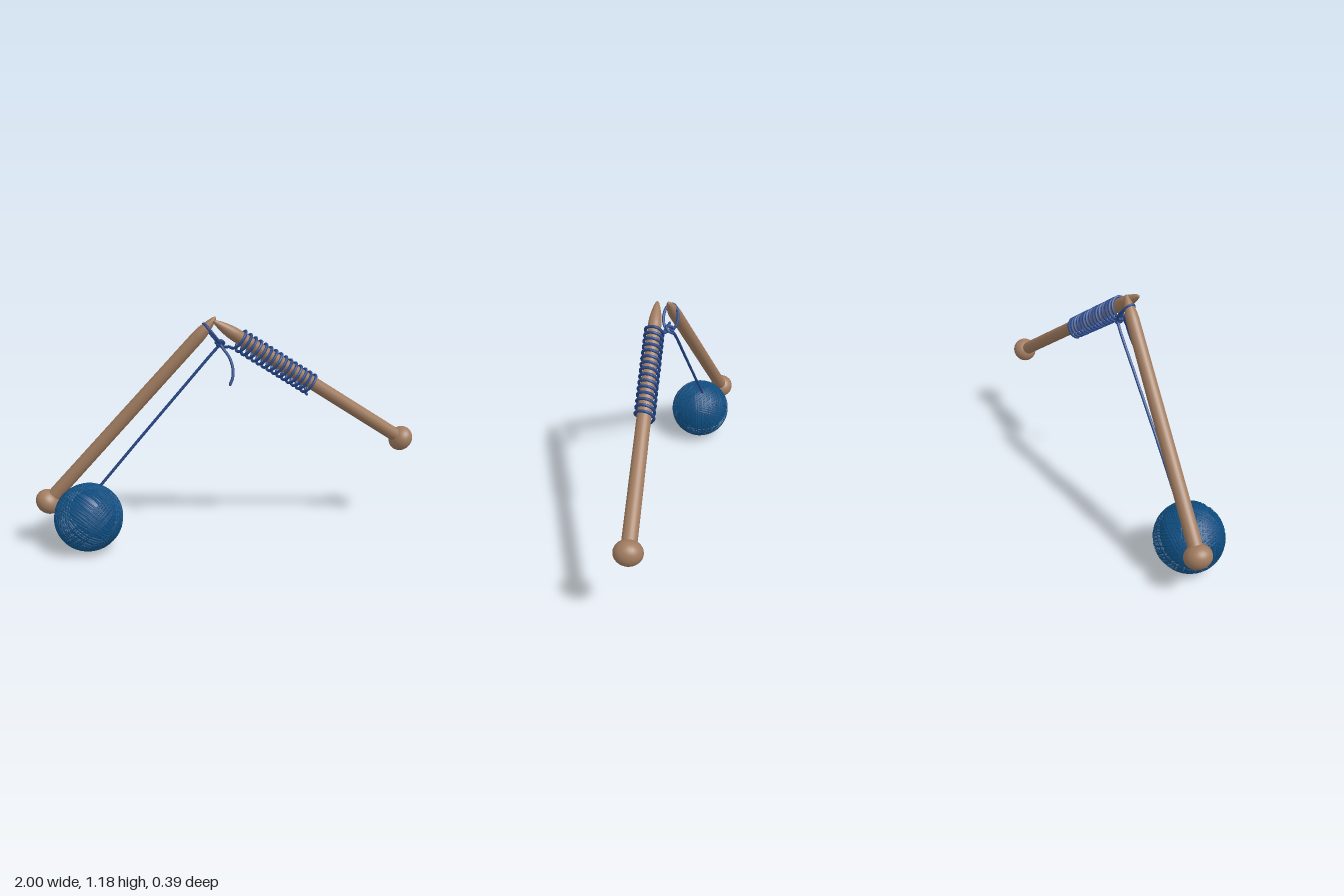
import * as THREE from 'three';

const V = (x, y, z) => new THREE.Vector3(x, y, z);
const UP = V(0, 1, 0);

const wood = new THREE.MeshStandardMaterial({ color: 0xa17c60 });
wood.name = 'wood';
const ballBlue = new THREE.MeshStandardMaterial({ color: 0x0f4f83 });
ballBlue.name = 'ballBlue';
const yarnBlue = new THREE.MeshStandardMaterial({ color: 0x294a8c });
yarnBlue.name = 'yarnBlue';

function add(parent, name, geometry, material) {
  const mesh = new THREE.Mesh(geometry, material);
  mesh.name = name;
  parent.add(mesh);
  return mesh;
}

// Small seeded generator for the winding directions
function seeded(seed) {
  return () => {
    seed = (seed * 16807) % 2147483647;
    return seed / 2147483647;
  };
}

// Needle with a pointed tip and a rounded end knob
function needle(name, knob, tip) {
  const group = new THREE.Group();
  group.name = name;
  const axis = tip.clone().sub(knob);
  const len = axis.length();
  const profile = [
    [0.036, 0], [0.033, len - 0.13], [0.031, len - 0.1], [0.026, len - 0.07],
    [0.018, len - 0.035], [0.01, len - 0.01], [0.005, len - 0.002], [0, len],
  ].map(([r, y]) => new THREE.Vector2(r, y));
  add(group, name + 'Shaft', new THREE.LatheGeometry(profile, 24), wood);
  const end = add(group, name + 'Knob', new THREE.SphereGeometry(0.068, 28, 20), wood);
  end.scale.y = 0.86;
  group.position.copy(knob);
  group.quaternion.setFromUnitVectors(UP, axis.normalize());
  return group;
}

function yarn(parent, name, points, segments, closed = false, r = 0.0075) {
  const curve = new THREE.CatmullRomCurve3(points, closed);
  add(parent, name, new THREE.TubeGeometry(curve, segments, r, 7, closed), yarnBlue);
  if (!closed) {
    for (const p of [points[0], points[points.length - 1]]) {
      add(parent, name + 'End', new THREE.SphereGeometry(r, 8, 6), yarnBlue).position.copy(p);
    }
  }
}

// Ball: a core wrapped in bundles of parallel strands
function yarnBall() {
  const ball = new THREE.Group();
  ball.name = 'yarnBall';
  const R = 0.168;
  add(ball, 'ballCore', new THREE.SphereGeometry(R + 0.001, 40, 28), ballBlue);
  const rand = seeded(41);
  for (let b = 0; b < 11; b++) {
    const bundle = new THREE.Group();
    bundle.name = 'strandBundle';
    const dir = V(rand() - 0.5, rand() - 0.5, rand() - 0.5).normalize();
    bundle.quaternion.setFromUnitVectors(V(0, 0, 1), dir);
    for (let i = -3; i <= 3; i++) {
      const a = i * 0.085 + (rand() - 0.5) * 0.03;
      const strand = add(bundle, 'strand',
        new THREE.TorusGeometry(R * Math.cos(a), 0.0055, 5, 64), ballBlue);
      strand.position.z = R * Math.sin(a);
      strand.rotation.set((rand() - 0.5) * 0.04, (rand() - 0.5) * 0.04, 0);
    }
    ball.add(bundle);
  }
  ball.position.set(-0.755, 0.176, -0.01);
  return ball;
}

export function createModel() {
  const model = new THREE.Group();
  model.name = 'knittingSet';

  const knobA = V(0.937, 0.475, 0.115), tipA = V(-0.135, 1.168, 0.146);
  const knobB = V(-0.94, 0.24, -0.125), tipB = V(-0.105, 1.178, 0.088);
  model.add(needle('leftNeedle', knobA, tipA));
  model.add(needle('rightNeedle', knobB, tipB));
  model.add(yarnBall());

  // Row of stitches wound around the left needle
  const along = knobA.clone().sub(tipA).normalize();
  const side = V(0, 0, 1).addScaledVector(along, -along.z).normalize();
  const over = side.clone().cross(along).normalize();
  if (over.y < 0) over.negate();
  const coil = [];
  const turns = 15, steps = 14;
  for (let i = 0; i <= turns * steps; i++) {
    const t = i / steps, a = t * Math.PI * 2 - Math.PI / 2;
    coil.push(tipA.clone()
      .addScaledVector(along, 0.155 + 0.485 * t / turns)
      .addScaledVector(side, 0.045 * Math.cos(a))
      .addScaledVector(over, -0.011 + 0.053 * Math.sin(a)));
  }
  yarn(model, 'stitches', coil, turns * 24);

  // Loop around the right needle, with its knot
  const loop = [];
  for (let i = 0; i < 16; i++) {
    const a = i / 16 * Math.PI * 2, c = Math.cos(a);
    loop.push(V(-0.121 + 0.043 * c, 1.092 - 0.054 * c, 0.078 + 0.036 * Math.sin(a)));
  }
  yarn(model, 'needleLoop', loop, 48, true);
  yarn(model, 'knot', [
    V(-0.1, 1.05, 0.07), V(-0.08, 1.062, 0.095), V(-0.062, 1.045, 0.08),
    V(-0.075, 1.028, 0.058), V(-0.095, 1.04, 0.075), V(-0.08, 1.055, 0.06),
  ], 40);

  // Yarn linking the knot to the first stitch
  yarn(model, 'linkYarn', [
    V(-0.085, 1.045, 0.07), V(-0.07, 1.03, 0.1), V(-0.05, 1.035, 0.125), coil[0],
  ], 24);

  // Loose tail
  yarn(model, 'tail', [
    V(-0.1, 1.07, 0.08), V(-0.075, 1.025, 0.11), V(-0.052, 0.985, 0.14),
    V(-0.042, 0.93, 0.165), V(-0.048, 0.89, 0.178), V(-0.062, 0.86, 0.183),
  ], 32);

  // Taut strand from the ball to the knot
  yarn(model, 'strandToBall', [
    V(-0.72, 0.29, -0.035), V(-0.5, 0.55, 0), V(-0.27, 0.815, 0.032),
    V(-0.1, 1.01, 0.056), V(-0.068, 1.045, 0.066),
  ], 30);

  return model;
}
